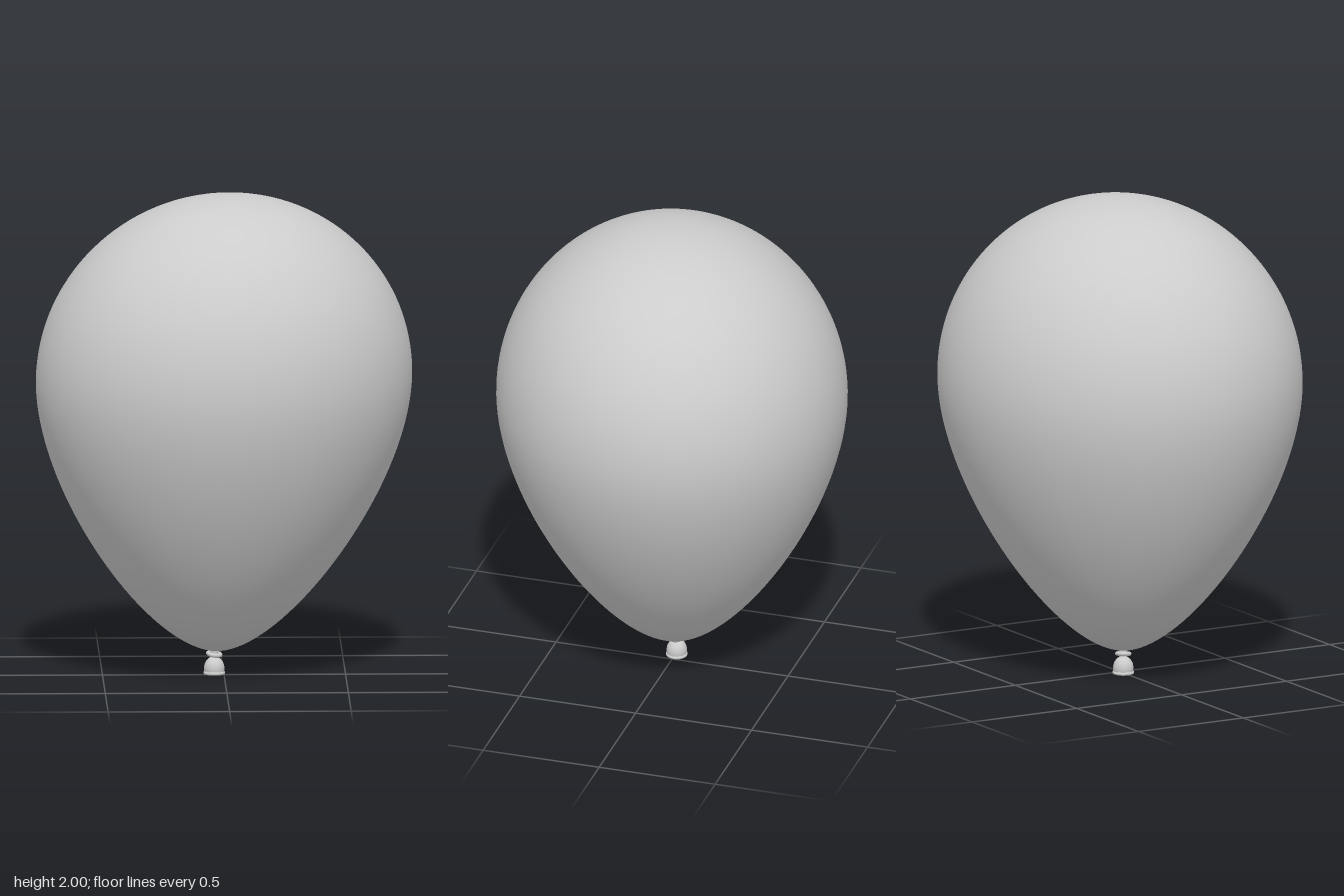
import * as THREE from 'three';

const V = (x, y) => new THREE.Vector2(x, y);

export function createModel() {
  const model = new THREE.Group();
  const material = new THREE.MeshStandardMaterial({ color: 0xcccccc, roughness: 0.6 });
  const add = (name, geometry, parent = model) => {
    const mesh = new THREE.Mesh(geometry, material);
    mesh.name = name;
    parent.add(mesh);
    return mesh;
  };

  // Balloon body: unit-radius egg profile, stretched to a slightly oval plan
  const WIDEST = 1.24;
  const lower = new THREE.CubicBezierCurve(V(0, 0.1), V(0.361, 0.1), V(1, 0.78), V(1, WIDEST));
  const upper = new THREE.CubicBezierCurve(V(1, WIDEST), V(1, 1.66), V(0.552, 2), V(0, 2));
  const profile = [...lower.getPoints(40), ...upper.getPoints(36).slice(1)];
  const body = new THREE.LatheGeometry(profile, 96);
  body.scale(0.778, 1, 0.723);
  body.rotateY(THREE.MathUtils.degToRad(15));
  // Gentle lean of the axis, keeping the widest ring centred
  const lean = 0.025, leanZ = 0.004;
  body.applyMatrix4(new THREE.Matrix4().set(
    1, lean, 0, -lean * WIDEST,
    0, 1, 0, 0,
    0, leanZ, 1, -leanZ * WIDEST,
    0, 0, 0, 1));
  add('balloonBody', body);

  // Tied end: neck, wrapped ring, flared nozzle and rolled lip
  const knot = new THREE.Group();
  knot.name = 'knot';
  knot.position.set(-0.04, 0, -0.008);
  model.add(knot);

  const nozzle = new THREE.SplineCurve([
    V(0.041, 0.014), V(0.042, 0.03), V(0.038, 0.048), V(0.028, 0.064), V(0.016, 0.074),
    V(0.017, 0.09), V(0.02, 0.12),
  ]).getPoints(32);
  add('nozzle', new THREE.LatheGeometry(nozzle, 40), knot);

  // Shallow hollow closing the mouth
  const mouth = [V(0, 0.022), V(0.02, 0.02), V(0.033, 0.014), V(0.038, 0.008)];
  add('mouth', new THREE.LatheGeometry(mouth, 40), knot);

  const lip = new THREE.TorusGeometry(0.038, 0.007, 12, 48);
  lip.rotateX(Math.PI / 2);
  add('lip', lip, knot).position.y = 0.008;

  const ring = new THREE.TorusGeometry(0.025, 0.009, 12, 40);
  ring.rotateX(Math.PI / 2);
  const wrap = add('wrappedRing', ring, knot);
  wrap.position.y = 0.086;
  wrap.rotation.set(0.12, 0, -0.15);

  return model;
}
